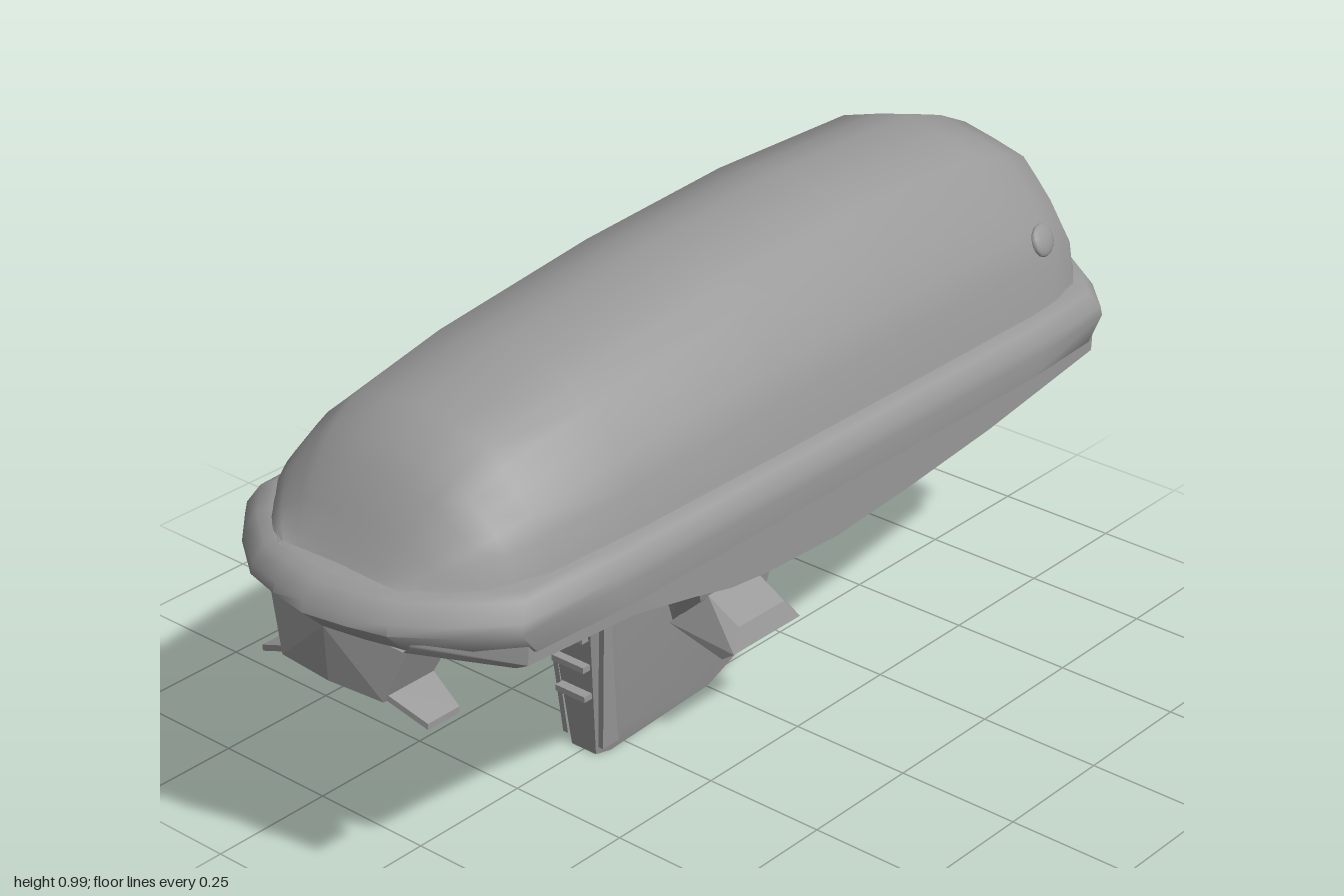
import * as THREE from 'three';
import { ConvexGeometry } from 'three/addons/geometries/ConvexGeometry.js';
import { toCreasedNormals } from 'three/addons/utils/BufferGeometryUtils.js';

const grey = new THREE.MeshStandardMaterial({ color: 0x999999, side: THREE.DoubleSide });

// Skin rows of [x, y, z] points into a surface
function skin(rows, closed, crease) {
  const n = rows[0].length, idx = [];
  for (let i = 0; i < rows.length - 1; i++) {
    for (let j = 0; j < (closed ? n : n - 1); j++) {
      const k = (j + 1) % n;
      const a = i * n + j, b = i * n + k, c = b + n, d = a + n;
      idx.push(a, d, b, d, c, b);
    }
  }
  const g = new THREE.BufferGeometry();
  g.setAttribute('position', new THREE.Float32BufferAttribute(rows.flat(2), 3));
  g.setIndex(idx);
  return toCreasedNormals(g, crease);
}

// Mirror half a cross-section that ends on the centre line
const mirrored = (half) => [...half, ...half.slice(0, -1).reverse().map(([x, y]) => [-x, y])];

// Faceted solid around a few corner points
const solid = (pts) => new ConvexGeometry(pts.map((p) => new THREE.Vector3(...p)));

export function createModel() {
  const model = new THREE.Group();
  const add = (name, geometry) => {
    const m = new THREE.Mesh(geometry, grey);
    m.name = name;
    model.add(m);
    return m;
  };

  // Upper shell: cross-sections [z, half width, height] from bow to stern
  const arc = mirrored([[1.03, -0.05], [1, 0.04], [0.965, 0.29], [0.88, 0.45], [0.78, 0.6], [0.655, 0.74], [0.53, 0.87], [0.27, 0.94], [0, 1]]);
  const stations = [
    [0.93, 0.12, -0.01], [0.9, 0.17, 0.025], [0.87, 0.205, 0.075], [0.82, 0.25, 0.14], [0.78, 0.27, 0.18], [0.71, 0.29, 0.222],
    [0.5, 0.3, 0.27], [0.12, 0.302, 0.32], [-0.25, 0.302, 0.345], [-0.62, 0.3, 0.337],
    [-0.72, 0.292, 0.305], [-0.8, 0.27, 0.267], [-0.87, 0.22, 0.17], [-0.92, 0.17, 0.08], [-0.96, 0.12, -0.01],
  ];
  add('upperShell', skin(stations.map(([z, w, h]) => arc.map(([x, y]) => [x * w, 0.64 + y * h, z])), false, 1.1));

  // Rim: stadium rings [half width, half length, y] from top to bottom
  const quarter = [[0, 1], [0.25, 0.985], [0.47, 0.965], [0.75, 0.895], [0.96, 0.82], [1, 0.6], [1, 0.2]];
  const side = [...quarter, ...quarter.slice(1).reverse().map(([x, z]) => [x, -z])];
  const outline = [...side, [0, -1], ...side.slice(1).reverse().map(([x, z]) => [-x, z])];
  add('rim', skin([
    [0.265, 0.88, 0.65], [0.31, 0.945, 0.642], [0.328, 0.97, 0.635], [0.343, 0.995, 0.605],
    [0.345, 1, 0.585], [0.342, 0.955, 0.54], [0.3, 0.9, 0.535], [0, 0.6, 0.535],
  ].map(([w, l, y]) => outline.map(([x, z]) => [x * w, y, z * l])), true, 1));

  // Belly: side skirts dip amidships, arching up before the central keel
  // [z, half width, skirt y, arch y, keel y]
  const bellyStations = [
    [0.93, 0.18, 0.54, 0.54, 0.54], [0.8, 0.325, 0.503, 0.515, 0.51], [0.55, 0.338, 0.497, 0.505, 0.497],
    [0.4, 0.34, 0.467, 0.495, 0.47], [0.3, 0.34, 0.443, 0.49, 0.435], [0.2, 0.34, 0.432, 0.49, 0.425],
    [0, 0.34, 0.425, 0.49, 0.42], [-0.2, 0.34, 0.44, 0.49, 0.425], [-0.3, 0.34, 0.45, 0.492, 0.445],
    [-0.45, 0.34, 0.465, 0.5, 0.475], [-0.8, 0.325, 0.5, 0.515, 0.51], [-0.93, 0.18, 0.54, 0.54, 0.54],
  ];
  add('belly', skin(bellyStations.map(([z, w, skirt, arch, keel]) => mirrored([
    [-w, 0.56], [-w * 0.995, skirt + 0.015], [-w * 0.91, skirt], [-w * 0.64, arch],
    [-w * 0.42, arch * 0.7 + keel * 0.3], [-w * 0.25, keel], [0, keel],
  ]).map(([x, y]) => [x, y, z])), false, 0.7));

  // Small swellings on the rear shoulders
  for (const s of [1, -1]) {
    const scoop = add('shoulderScoop', new THREE.SphereGeometry(0.04, 12, 8));
    scoop.scale.set(0.3, 0.8, 1);
    scoop.position.set(s * 0.266, 0.765, -0.7);
    scoop.rotation.set(0, s * 0.2, s * 0.4);
  }

  // Keel fin, tapering downwards and to the rear
  const fin = [];
  for (const s of [1, -1]) {
    fin.push(
      [s * 0.06, 0.45, 0.37], [s * 0.09, 0.45, 0.33], [s * 0.08, 0.45, -0.1], [s * 0.03, 0.45, -0.285],
      [s * 0.032, 0.05, 0.315], [s * 0.055, 0.05, 0.28], [s * 0.02, 0.05, -0.145],
      [s * 0.03, 0, 0.32], [s * 0.04, 0, 0.29], [s * 0.025, 0, -0.005],
    );
  }
  add('keelFin', toCreasedNormals(solid(fin), 0.6));

  // Ladder rungs and edge rails on the front of the fin
  for (let i = 0; i < 5; i++) {
    const y = 0.135 + i * 0.065;
    add('rung', new THREE.BoxGeometry(0.072 + i * 0.006, 0.012, 0.04))
      .position.set(0, y, 0.325 + y * 0.08);
  }
  for (const s of [1, -1]) {
    add('finRail', solid([0, 0.012].flatMap((d) => [
      [s * (0.085 - d), 0.44, 0.35], [s * (0.085 - d), 0.44, 0.3],
      [s * (0.05 - d), 0.02, 0.322], [s * (0.05 - d), 0.02, 0.28],
    ])));
  }

  // Side struts with tilted pods
  for (const s of [1, -1]) {
    add('strut', solid([
      [s * 0.208, 0.5, 0.265], [s * 0.108, 0.5, 0.265], [s * 0.208, 0.5, -0.22], [s * 0.108, 0.5, -0.22],
      [s * 0.148, 0.3, 0.16], [s * 0.08, 0.235, 0.16], [s * 0.148, 0.3, -0.02], [s * 0.08, 0.235, 0],
    ]));
    const pod = [];
    for (const [z, t] of [[0.17, 0.03], [-0.02, -0.03]]) {
      pod.push(
        [s * 0.08, 0.235, z], [s * 0.148, 0.305, z - t], [s * 0.222, 0.265, z - t],
        [s * 0.236, 0.225, z], [s * 0.208, 0.205, z], [s * 0.1, 0.23, z],
      );
    }
    add('pod', solid(pod));
  }

  // Tapered feet with flared claws under both ends
  for (const e of [1, -1]) {
    const low = e > 0 ? 0.95 : 0.91;
    add('foot', solid([
      [0, 0.54, e * 0.955], [0, 0.432, e * low],
      ...[1, -1].flatMap((s) => [
        [s * 0.165, 0.54, e * 0.92], [s * 0.165, 0.54, e * 0.79],
        [s * 0.122, 0.432, e * (low - 0.01)], [s * 0.122, 0.432, e * 0.83],
      ]),
    ]));
    for (const s of [1, -1]) {
      add('claw', solid([0, 0.012].flatMap((d) => [
        [s * 0.1, 0.445 + d, e * (low - 0.01)], [s * 0.1, 0.445 + d, e * 0.82],
        [s * 0.2, 0.398 + d, e * (low - 0.035)], [s * 0.2, 0.398 + d, e * 0.84],
      ])));
    }
  }
  return model;
}
